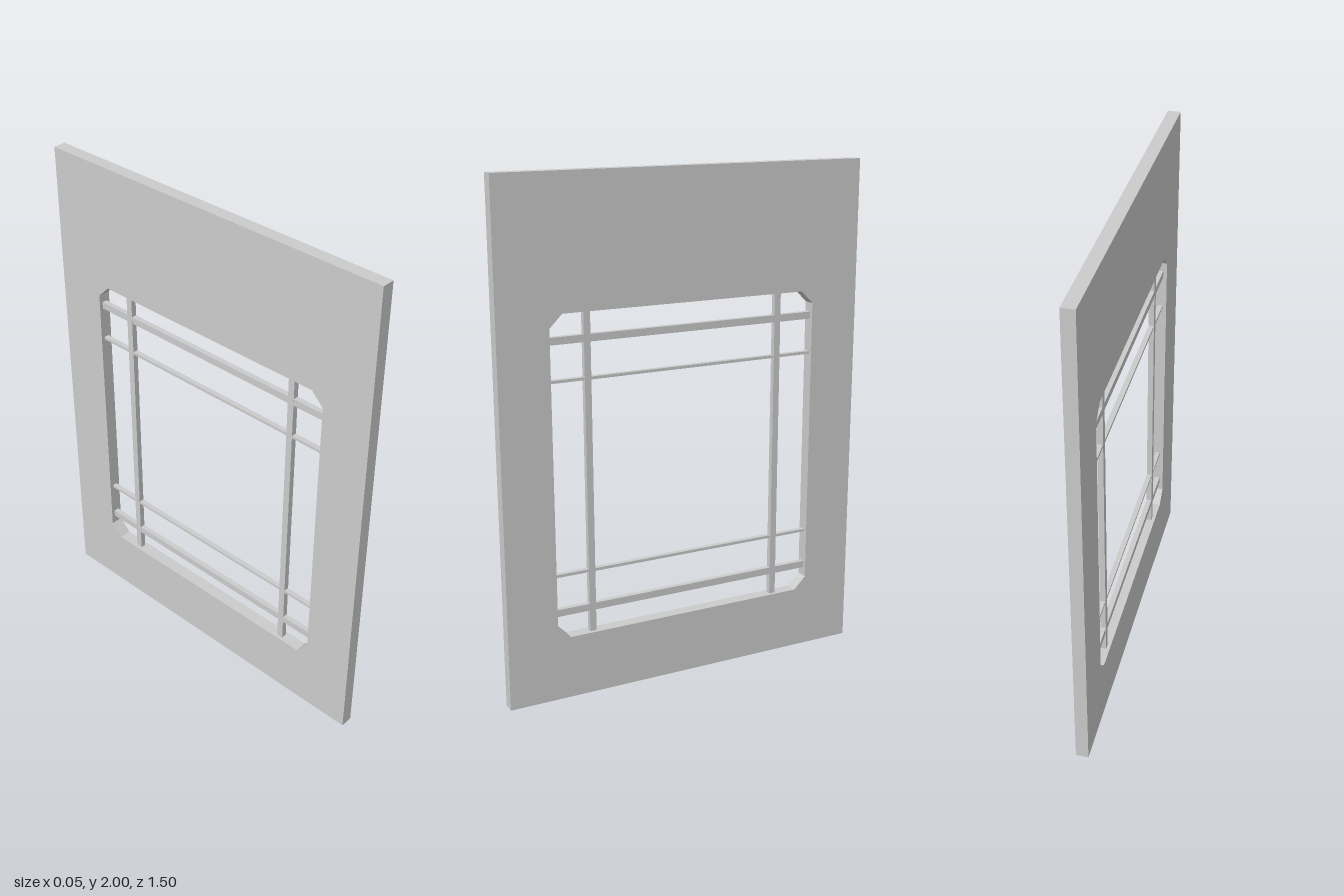
import * as THREE from 'three';

const THICK = 0.05;

export function createModel() {
  const group = new THREE.Group();
  const material = new THREE.MeshStandardMaterial({ color: 0xcccccc, flatShading: true });

  const add = (name, geometry, y = 0, z = 0) => {
    const mesh = new THREE.Mesh(geometry, material);
    mesh.name = name;
    mesh.position.set(0, y, z);
    group.add(mesh);
  };
  const points = (list) => list.map(([x, y]) => new THREE.Vector2(x, y));

  // Wall panel with a chamfered window opening
  const half = 0.55, bottom = 0.25, top = 1.5, cut = 0.05;
  const wall = new THREE.Shape(points([[-0.75, 0], [0.75, 0], [0.75, 2], [-0.75, 2]]));
  wall.holes.push(new THREE.Path(points([
    [-half + cut, bottom], [-half, bottom + cut], [-half, top - cut], [-half + cut, top],
    [half - cut, top], [half, top - cut], [half, bottom + cut], [half - cut, bottom],
  ])));
  const panel = new THREE.ExtrudeGeometry(wall, { depth: THICK, bevelEnabled: false });
  panel.translate(0, 0, -THICK / 2).rotateY(Math.PI / 2);
  add('wallPanel', panel);

  // Upright window bars
  for (const z of [-0.4, 0.4]) {
    add('uprightBar', new THREE.BoxGeometry(0.022, top - bottom, 0.026), (top + bottom) / 2, z);
  }

  // Wide outer and thin inner cross bars
  for (const [name, y, height, depth] of [
    ['wideCrossBar', 0.35, 0.028, 0.021], ['wideCrossBar', 1.4, 0.028, 0.021],
    ['thinCrossBar', 0.5, 0.011, 0.02], ['thinCrossBar', 1.25, 0.011, 0.02],
  ]) {
    add(name, new THREE.BoxGeometry(depth, height, half * 2), y);
  }
  return group;
}
